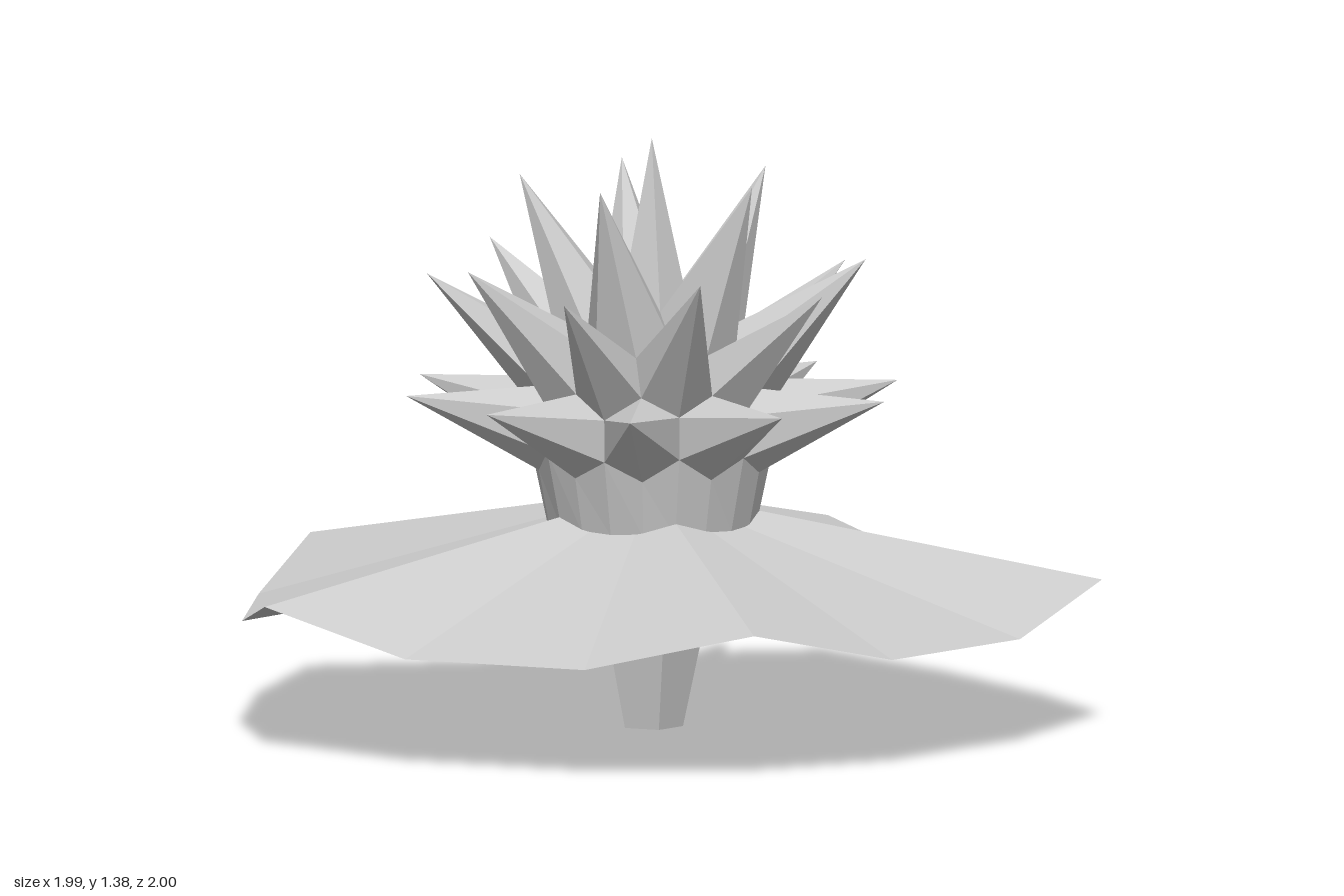
import * as THREE from 'three';

const CX = 0.055;                     // all parts share this axis
const CORE_Y = 0.71, CORE_R = 0.288;  // faceted core the spikes grow from
const TIP_R = 0.588, TIP_LIFT = 0.085; // spike tips lie on a larger, higher sphere
const rad = THREE.MathUtils.degToRad;

function makeMesh(name, triangles, side = THREE.DoubleSide) {
  const geo = new THREE.BufferGeometry().setFromPoints(triangles);
  geo.computeVertexNormals();
  const mesh = new THREE.Mesh(geo, material(side));
  mesh.name = name;
  return mesh;
}

function material(side) {
  return new THREE.MeshStandardMaterial({ color: 0xcccccc, flatShading: true, side });
}

// Triangles from a tip around a closed ring of corners
function fan(tip, ring) {
  return ring.flatMap((p, i) => [tip, p, ring[(i + 1) % ring.length]]);
}

function direction(polar, azimuth) {
  return new THREE.Vector3().setFromSphericalCoords(1, rad(polar), rad(90 - azimuth));
}

// Directions of a subdivided icosahedron: upper spikes, then two bare lower rings
const RINGS = [[0, 0, 1], [31.72, 0, 5], [58.28, 36, 5], [63.43, 0, 5], [90, 18, 10],
  [116.57, 36, 5], [121.72, 0, 5]];
const SPIKES = 26;

function allDirections() {
  return RINGS.flatMap(([polar, start, count]) =>
    Array.from({ length: count }, (_, i) => direction(polar, start + (i * 360) / count)));
}

// Valleys lie between every three neighbouring directions
function valleyPoints(dirs) {
  const near = (a, b) => a.angleTo(b) < rad(40);
  const valleys = [];
  for (let i = 0; i < SPIKES; i++)
    for (let j = i + 1; j < dirs.length; j++)
      for (let k = j + 1; k < dirs.length; k++)
        if (near(dirs[i], dirs[j]) && near(dirs[j], dirs[k]) && near(dirs[i], dirs[k])) {
          const point = dirs[i].clone().add(dirs[j]).add(dirs[k]).setLength(CORE_R);
          valleys.push({ owners: [i, j, k], point });
        }
  return valleys;
}

function buildSpikes(dirs, valleys) {
  const group = new THREE.Group();
  group.name = 'spikes';
  dirs.slice(0, SPIKES).forEach((dir, index) => {
    const ring = valleys.filter((v) => v.owners.includes(index)).map((v) => v.point);
    // Sort the corners anticlockwise around the spike axis
    const u = new THREE.Vector3(0.31, 0.17, 0.93).cross(dir).normalize();
    const v = dir.clone().cross(u);
    ring.sort((a, b) => Math.atan2(a.dot(v), a.dot(u)) - Math.atan2(b.dot(v), b.dot(u)));
    const tip = dir.clone().multiplyScalar(TIP_R);
    tip.y += TIP_LIFT;
    group.add(makeMesh('spike', fan(tip, ring)));
  });
  return group;
}

// Cup wall from the zigzag lower edge of the spikes down into the skirt
function buildCup(valleys) {
  const top = valleys.map((v) => v.point).filter((p) => p.y < -0.01);
  top.sort((a, b) => Math.atan2(a.x, a.z) - Math.atan2(b.x, b.z));
  const bottom = top.map((p) => new THREE.Vector3(p.x, 0, p.z).setLength(0.245).setY(0.478 - CORE_Y));
  const triangles = top.flatMap((p, i) => {
    const j = (i + 1) % top.length;
    return [p, bottom[i], bottom[j], p, bottom[j], top[j]];
  });
  return makeMesh('cup', triangles);
}

// Wide skirt, every third corner raised and pushed out, with a flatter underside
function buildSkirt() {
  const rim = [];
  for (let i = 0; i < 5; i++) {
    for (const [offset, r, y] of [[0, 1.053, 0.357], [22.4, 0.966, 0.267], [49.6, 0.966, 0.267]]) {
      const a = rad(180 - i * 72 - offset);
      rim.push(new THREE.Vector3(r * Math.cos(a), y, r * Math.sin(a)));
    }
  }
  const skirt = new THREE.Group();
  skirt.name = 'skirt';
  skirt.add(
    makeMesh('skirtTop', fan(new THREE.Vector3(0, 0.557, 0), rim), THREE.FrontSide),
    makeMesh('skirtUnderside', fan(new THREE.Vector3(0, 0.415, 0), [...rim].reverse()), THREE.FrontSide),
  );
  return skirt;
}

// Five-sided tapering stem
function buildStem() {
  const height = 0.42;
  const geo = new THREE.CylinderGeometry(0.161, 0.073, height, 5, 1, false, -Math.PI / 2);
  const stem = new THREE.Mesh(geo, material(THREE.FrontSide));
  stem.name = 'stem';
  stem.position.y = height / 2;
  return stem;
}

export function createModel() {
  const dirs = allDirections();
  const valleys = valleyPoints(dirs);
  const head = new THREE.Group();
  head.name = 'head';
  head.position.y = CORE_Y;
  head.add(buildSpikes(dirs, valleys), buildCup(valleys));

  const model = new THREE.Group();
  model.name = 'spikyFlower';
  const flower = new THREE.Group();
  flower.name = 'flower';
  flower.position.x = CX;
  flower.add(head, buildSkirt(), buildStem());
  model.add(flower);
  return model;
}
